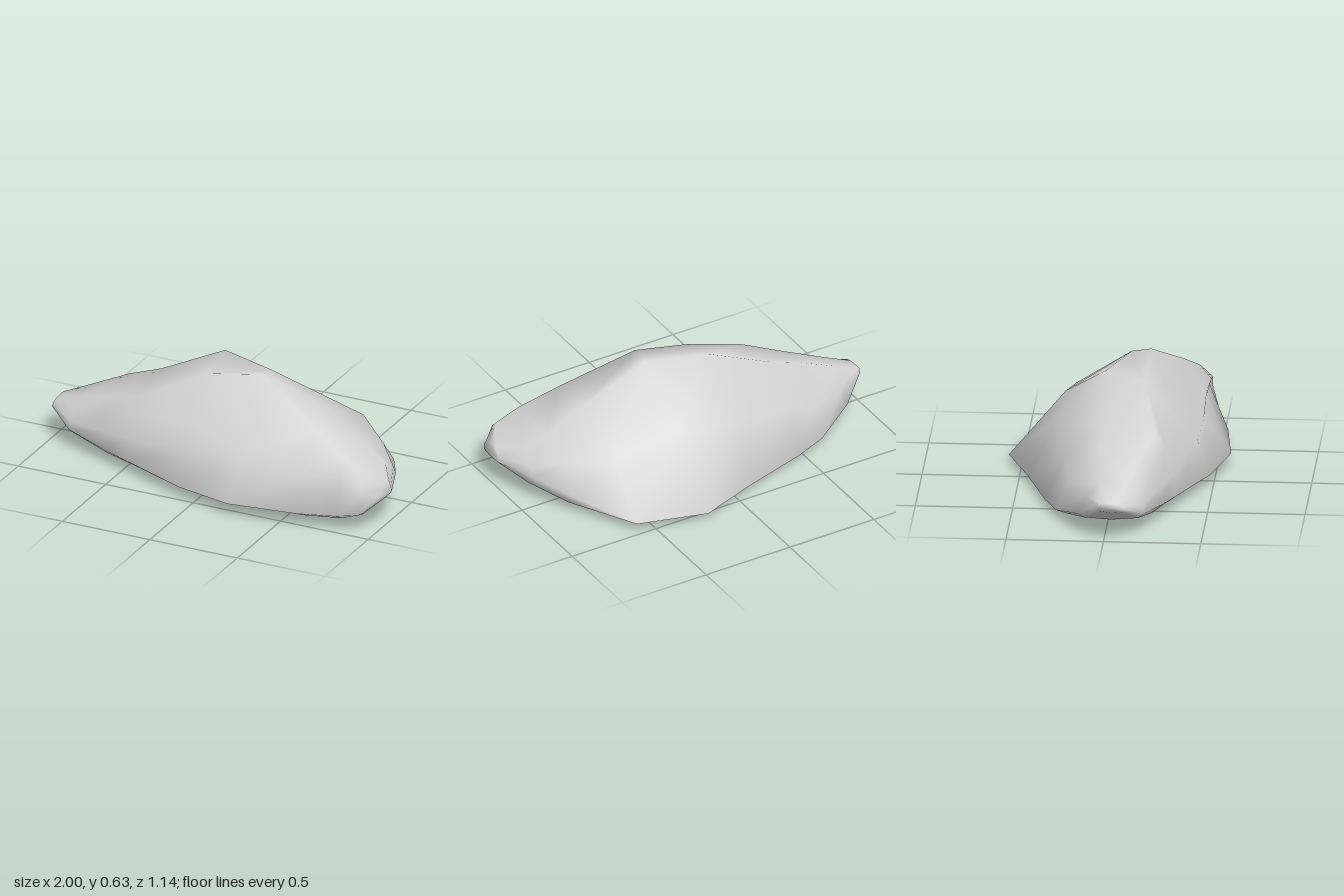
import * as THREE from 'three';

// Cross-sections along x. Each row: x, then (z, y) for back rim, back slope,
// back of crest, front of crest, front notch, ledge, front rim.
const SECTIONS = [
  [-1.0, -0.03, 0.185, -0.03, 0.195, -0.02, 0.205, 0.03, 0.205, 0.07, 0.2, 0.1, 0.19, 0.11, 0.175],
  [-0.86, -0.14, 0.1, -0.1, 0.2, -0.03, 0.268, 0.1, 0.25, 0.16, 0.205, 0.19, 0.15, 0.2, 0.11],
  [-0.63, -0.27, 0.04, -0.2, 0.19, -0.04, 0.375, 0.16, 0.335, 0.22, 0.27, 0.26, 0.17, 0.275, 0.08],
  [-0.45, -0.34, 0.035, -0.24, 0.26, -0.04, 0.44, 0.23, 0.395, 0.28, 0.32, 0.32, 0.19, 0.34, 0.07],
  [-0.09, -0.45, 0.035, -0.31, 0.34, -0.05, 0.615, 0.15, 0.565, 0.33, 0.34, 0.42, 0.25, 0.48, 0.06],
  [0.23, -0.57, 0.04, -0.28, 0.39, 0.06, 0.615, 0.16, 0.63, 0.39, 0.28, 0.43, 0.255, 0.57, 0.07],
  [0.6, -0.48, 0.05, -0.25, 0.31, 0.07, 0.46, 0.3, 0.455, 0.42, 0.285, 0.42, 0.26, 0.53, 0.075],
  [0.8, -0.2, 0.12, -0.08, 0.26, 0.1, 0.335, 0.37, 0.355, 0.43, 0.28, 0.42, 0.25, 0.48, 0.08],
  [0.92, 0.02, 0.16, 0.05, 0.21, 0.14, 0.265, 0.4, 0.28, 0.43, 0.25, 0.43, 0.2, 0.455, 0.1],
  [1.0, 0.23, 0.16, 0.24, 0.19, 0.26, 0.23, 0.31, 0.24, 0.36, 0.22, 0.38, 0.19, 0.38, 0.165],
];

// Underside points: share of the way from back rim to front rim, and of the rim height
const UNDERSIDE = [[0.9, 0.3], [0.5, 0], [0.1, 0.3]];

function rockGeometry() {
  const positions = [];
  const index = [];
  const n = 7 + UNDERSIDE.length;

  for (const [x, ...p] of SECTIONS) {
    for (let k = 0; k < p.length; k += 2) positions.push(x, p[k + 1], p[k]);
    // Underside: nearly flat, curling up towards both ends
    const base = 0.155 * Math.pow(Math.abs(x), x < 0 ? 5 : 8);
    for (const [t, lift] of UNDERSIDE) {
      const z = p[0] + (p[12] - p[0]) * t;
      const rimY = t > 0.5 ? p[13] : p[1];
      positions.push(x, base + (rimY - base) * lift, z);
    }
  }

  // Skin between neighbouring sections
  for (let i = 0; i < SECTIONS.length - 1; i++) {
    for (let j = 0; j < n; j++) {
      const a = i * n + j, c = i * n + (j + 1) % n;
      const b = a + n, d = c + n;
      index.push(a, c, b, c, d, b);
    }
  }

  // End caps
  const last = (SECTIONS.length - 1) * n;
  for (let j = 1; j < n - 1; j++) {
    index.push(0, j + 1, j, last, last + j, last + j + 1);
  }

  const geometry = new THREE.BufferGeometry();
  geometry.setAttribute('position', new THREE.Float32BufferAttribute(positions, 3));
  geometry.setIndex(index);
  geometry.computeVertexNormals();
  return geometry;
}

export function createModel() {
  const group = new THREE.Group();
  group.name = 'boulder';

  const stone = new THREE.MeshStandardMaterial({ color: 0xd4d4d4 });
  stone.name = 'grey stone';

  const rock = new THREE.Mesh(rockGeometry(), stone);
  rock.name = 'rock';
  group.add(rock);
  return group;
}
